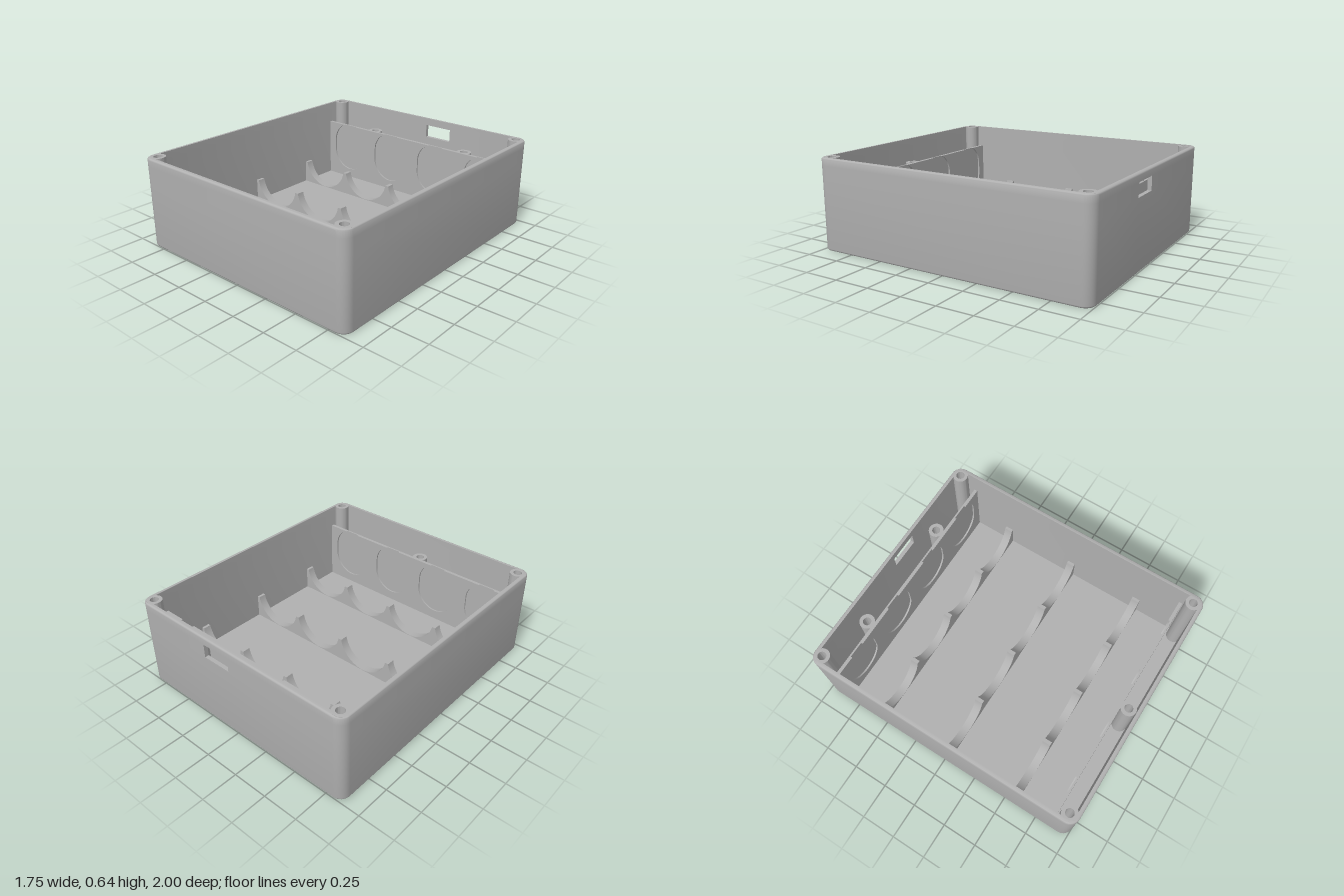
import * as THREE from 'three';
import { toCreasedNormals } from 'three/addons/utils/BufferGeometryUtils.js';

const HX = 0.875, HZ = 1, H = 0.637, FLOOR = 0.03, WALL = 0.028, R = 0.07, FILLET = 0.013;
const SLOT = { x0: 0.03, x1: 0.245, y0: 0.487, y1: 0.583 };
const CELLS = [0.63, 0.21, -0.21, -0.63];
const INNER = HX - WALL;
const STEPS = 8;

// Rounded rectangle at a given inset and height, with two extra points beside the port slot
function ring(inset, y) {
  const pts = [];
  const r = R - inset;
  [[1, 1], [-1, 1], [-1, -1], [1, -1]].forEach(([sx, sz], q) => {
    for (let i = 0; i <= STEPS; i++) {
      const a = (q + i / STEPS) * Math.PI / 2;
      const x = sx * (HX - R) + r * Math.cos(a), z = sz * (HZ - R) + r * Math.sin(a);
      pts.push([x, y, z]);
    }
    if (q === 2) for (const x of [SLOT.x0, SLOT.x1]) pts.push([x, y, -HZ + inset]);
  });
  return pts;
}

// Tray: one skin lofted along a wall profile, with the port cut through the back wall
function trayGeometry() {
  const pos = [];
  const quad = (a, b, c, d) => pos.push(...a, ...d, ...c, ...a, ...c, ...b);
  const profile = [];
  for (let i = 0; i <= 4; i++) {
    const a = i / 4 * Math.PI / 2;
    profile.push([FILLET * (1 - Math.sin(a)), FILLET * (1 - Math.cos(a))]);
  }
  profile.push([0, SLOT.y0], [0, SLOT.y1]);
  for (let i = 0; i <= 4; i++) {
    const a = i / 4 * Math.PI / 2;
    profile.push([FILLET * (1 - Math.cos(a)), H - FILLET * (1 - Math.sin(a))]);
  }
  profile.push([WALL, H], [WALL, SLOT.y1], [WALL, SLOT.y0], [WALL, FLOOR]);
  const rings = profile.map(([inset, y]) => ring(inset, y));
  const n = rings[0].length, slotColumn = 3 * (STEPS + 1);
  const inSlot = (p) => p[1] === SLOT.y0 || p[1] === SLOT.y1;
  for (let j = 0; j < rings.length - 1; j++) {
    for (let i = 0; i < n; i++) {
      if (i === slotColumn && inSlot(profile[j]) && inSlot(profile[j + 1])) continue;
      const k = (i + 1) % n;
      quad(rings[j][i], rings[j][k], rings[j + 1][k], rings[j + 1][i]);
    }
  }
  // underside and floor
  const last = rings[rings.length - 1];
  for (let i = 0; i < n; i++) {
    const k = (i + 1) % n;
    pos.push(0, 0, 0, ...rings[0][i], ...rings[0][k]);
    pos.push(0, FLOOR, 0, ...last[k], ...last[i]);
  }
  // port slot sides
  const c = [[SLOT.x0, SLOT.y0], [SLOT.x1, SLOT.y0], [SLOT.x1, SLOT.y1], [SLOT.x0, SLOT.y1]];
  c.forEach((p, i) => {
    const q = c[(i + 1) % 4];
    quad([...p, -HZ], [...q, -HZ], [...q, -HZ + WALL], [...p, -HZ + WALL]);
  });
  const g = new THREE.BufferGeometry();
  g.setAttribute('position', new THREE.Float32BufferAttribute(pos, 3));
  return toCreasedNormals(g, 0.6);
}

// Upright panel across the tray; cutCell draws each cell's cutout along the top edge
function panelGeometry(top, depth, cutCell) {
  const s = new THREE.Shape();
  s.moveTo(-INNER, FLOOR - 0.005);
  s.lineTo(INNER, FLOOR - 0.005);
  s.lineTo(INNER, top);
  if (cutCell) for (const x of CELLS) cutCell(s, x);
  s.lineTo(-INNER, top);
  const g = new THREE.ExtrudeGeometry(s, { depth, bevelEnabled: false, curveSegments: 20 });
  return toCreasedNormals(g, 0.5);
}

// Hollow round post
function postGeometry(radius, height) {
  const s = new THREE.Shape().absarc(0, 0, radius, 0, Math.PI * 2);
  s.holes.push(new THREE.Path().absarc(0, 0, 0.029, 0, Math.PI * 2, true));
  const g = new THREE.ExtrudeGeometry(s, { depth: height, bevelEnabled: false, curveSegments: 24 });
  return toCreasedNormals(g.rotateX(-Math.PI / 2), 0.5);
}

export function createModel() {
  const model = new THREE.Group();
  const plastic = new THREE.MeshStandardMaterial({ color: 0xb0b0b0 });
  plastic.name = 'grey plastic';
  const add = (name, geometry, x, y, z) => {
    const m = new THREE.Mesh(geometry, plastic);
    m.name = name;
    m.position.set(x, y, z);
    model.add(m);
  };

  add('tray', trayGeometry(), 0, 0, 0);

  // Scalloped ribs that cradle four cells
  const scallop = (s, x) => s.absarc(x, 0.233, 0.2, -0.176, Math.PI + 0.176, true);
  const rib = panelGeometry(0.198, 0.058, scallop);
  for (const z of [-0.571, -0.021, 0.533]) add('cradleRib', rib, 0, 0, z);

  // End plates: solid backing plus a facing with open-topped pockets
  const TOP = 0.477, PR = 0.155, open = Math.acos(0.058 / PR);
  const pocket = (s, x) => {
    const yTop = TOP - PR * Math.sin(open);
    s.absarc(x, yTop, PR, open, 0, true);
    s.absarc(x, 0.253, PR, 0, Math.PI, true);
    s.absarc(x, yTop, PR, Math.PI, Math.PI - open, true);
  };
  const backing = panelGeometry(TOP, 0.012);
  const facing = panelGeometry(TOP, 0.012, pocket);
  add('backPlate', backing, 0, 0, -0.85);
  add('backPlateFacing', facing, 0, 0, -0.838);
  add('frontPlate', backing, 0, 0, 0.857);
  add('frontPlateFacing', facing, 0, 0, 0.845);

  // Corner screw posts
  const cornerPost = postGeometry(0.053, H - FLOOR);
  for (const x of [-0.81, 0.81]) {
    for (const z of [-0.937, 0.93]) add('cornerPost', cornerPost, x, FLOOR, z);
  }

  // Shorter screw bosses behind the end plates
  const boss = postGeometry(0.054, 0.465 - FLOOR);
  const neck = new THREE.BoxGeometry(0.05, 0.465 - FLOOR, 0.02);
  for (const x of [-0.42, 0.42]) {
    add('backBoss', boss, x, FLOOR, -0.902);
    add('backBossNeck', neck, x, (0.465 + FLOOR) / 2, -0.857);
  }
  add('frontBoss', boss, 0, FLOOR, 0.918);

  return model;
}
